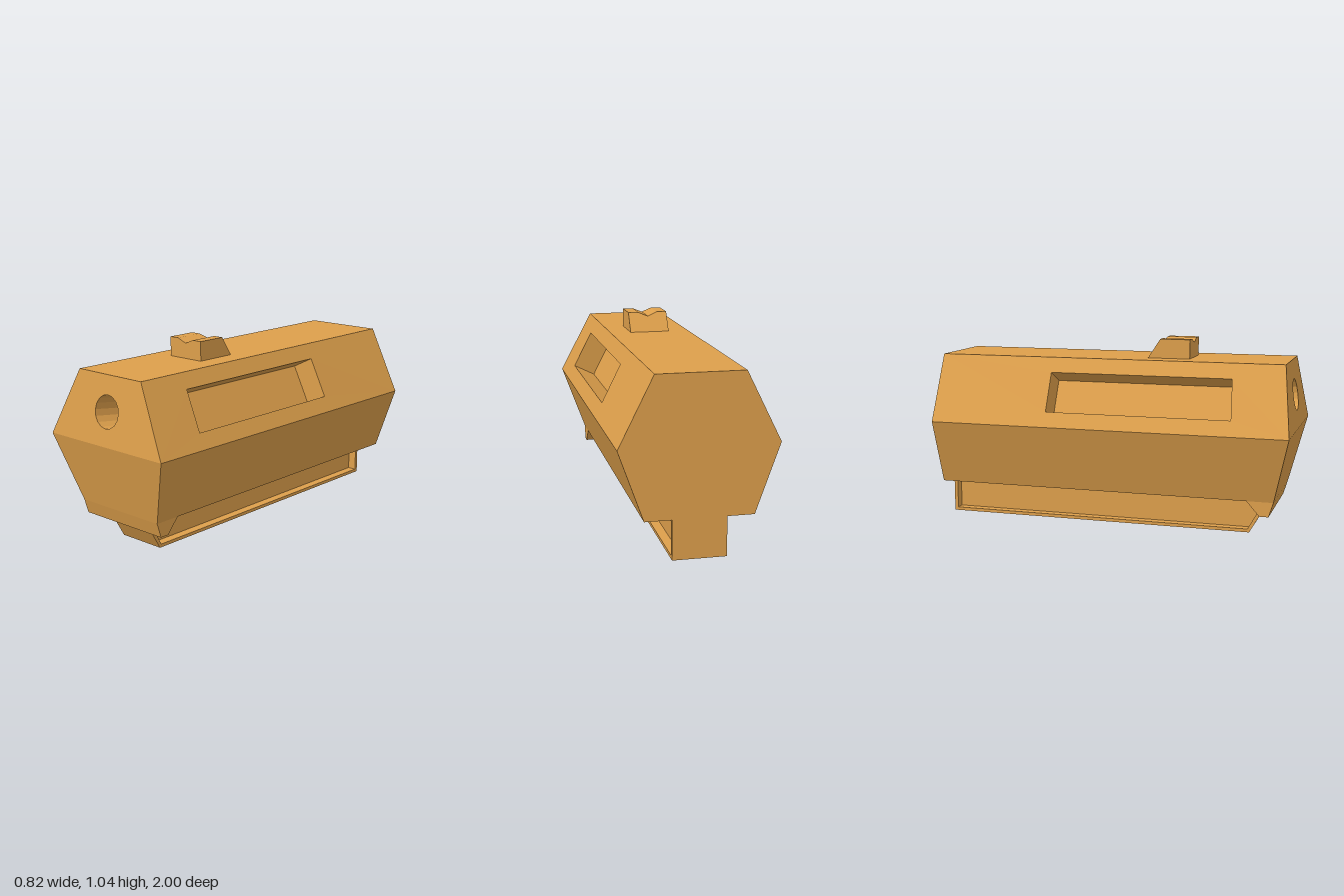
import * as THREE from 'three';

const material = new THREE.MeshStandardMaterial({ color: 0xdd9f4b, flatShading: true });
const V = (x, y, z) => new THREE.Vector3(x, y, z);

// Flat polygon with holes, facing the side from which its corners run counter-clockwise
function panel(out, outer, holes = []) {
  const n = V(0, 0, 0);
  outer.forEach((p, i) => n.add(p.clone().cross(outer[(i + 1) % outer.length])));
  n.normalize();
  const u = outer[1].clone().sub(outer[0]).normalize();
  const v = n.clone().cross(u);
  const flat = (loop) => loop.map((p) => new THREE.Vector2(p.dot(u), p.dot(v)));
  const all = [...outer, ...holes.flat()];
  for (const [a, b, c] of THREE.ShapeUtils.triangulateShape(flat(outer), holes.map(flat))) {
    const cross = all[b].clone().sub(all[a]).cross(all[c].clone().sub(all[a]));
    out.push(...(cross.dot(n) > 0 ? [all[a], all[b], all[c]] : [all[a], all[c], all[b]]));
  }
}

// Walls between two loops; a counter-clockwise loop gives walls facing inward
function band(out, a, b) {
  a.forEach((p, i) => {
    const j = (i + 1) % a.length;
    out.push(p, a[j], b[j], p, b[j], b[i]);
  });
}

// Panel with a sunken pocket
function pocketPanel(out, outer, loop, depth) {
  const floor = loop.map((p) => p.clone().add(depth));
  panel(out, outer, [loop]);
  band(out, loop, floor);
  panel(out, floor);
}

// Mirror a loop to the -x side, keeping it facing outward
const side = (loop, s) => (s > 0 ? loop : loop.map((p) => V(-p.x, p.y, p.z)).reverse());

function toMesh(name, points) {
  const geometry = new THREE.BufferGeometry().setFromPoints(points);
  geometry.computeVertexNormals();
  const mesh = new THREE.Mesh(geometry, material);
  mesh.name = name;
  return mesh;
}

// Hexagonal body with a bore in the front and a recess on each upper flank
function makeBody() {
  const out = [];
  const top = [0.228, 0.94], mid = [0.41, 0.575], low = [0.28, 0.21];
  const zTop = 0.95, zMid = 1, zLow = 0.91, zBack = -1;
  const at = ([x, y], z, s = 1) => V(s * x, y, z);

  const bore = [];
  for (let i = 0; i < 16; i++) {
    const a = (i / 16) * Math.PI * 2;
    const y = 0.754 + 0.086 * Math.sin(a);
    bore.push(V(0.086 * Math.cos(a), y, zMid - ((y - mid[1]) * 0.05) / 0.365));
  }
  pocketPanel(out, [at(mid, zMid, -1), at(mid, zMid), at(top, zTop), at(top, zTop, -1)],
    bore, V(0, -0.055, -0.4));
  panel(out, [at(low, zLow, -1), at(low, zLow), at(mid, zMid), at(mid, zMid, -1)]);

  const recess = [V(0.37, 0.655, 0.69), V(0.37, 0.655, -0.335),
    V(0.268, 0.86, -0.335), V(0.268, 0.86, 0.675)];
  for (const s of [1, -1]) {
    pocketPanel(out, side([at(mid, zMid), at(mid, zBack), at(top, zBack), at(top, zTop)], s),
      side(recess, s), V(-0.12 * s, -0.06, 0));
    panel(out, side([at(low, zLow), at(low, zBack), at(mid, zBack), at(mid, zMid)], s));
  }
  panel(out, [at(top, zTop, -1), at(top, zTop), at(top, zBack), at(top, zBack, -1)]);
  panel(out, [at(low, zBack, -1), at(low, zBack), at(low, zLow), at(low, zLow, -1)]);
  panel(out, [at(low, zBack), at(low, zBack, -1), at(mid, zBack, -1),
    at(top, zBack, -1), at(top, zBack), at(mid, zBack)]);
  return toMesh('body', out);
}

// Prism across x from a side profile of [z, y] points
function prism(out, profile, halfWidth) {
  const right = profile.map(([z, y]) => V(halfWidth, y, z)).reverse();
  const left = right.map((p) => V(-p.x, p.y, p.z));
  band(out, right, left);
  return right.reverse();
}

// Lip under the nose
function makeNoseLip() {
  const out = [];
  const cap = prism(out, [[0.91, 0.21], [0.885, 0.13], [0.835, 0.13], [0.765, 0.21]], 0.28);
  for (const s of [1, -1]) panel(out, side(cap, s));
  return toMesh('noseLip', out);
}

// Bottom rail with a long sunken panel on both sides
function makeRail() {
  const out = [];
  const cap = prism(out, [[0.835, 0.13], [0.76, 0], [-1, 0], [-1, 0.21], [0.765, 0.21]], 0.14);
  const inset = [[0.812, 0.13], [0.75, 0.018], [-0.98, 0.018], [-0.98, 0.195], [0.757, 0.195]]
    .map(([z, y]) => V(0.14, y, z));
  for (const s of [1, -1]) pocketPanel(out, side(cap, s), side(inset, s), V(-0.05 * s, 0, 0));
  return toMesh('bottomRail', out);
}

// Notched sight with a sloping rear
function makeSight() {
  const shape = new THREE.Shape([[-0.112, 0.94], [0.112, 0.94], [0.112, 1.045], [0.055, 1.045],
    [0, 1.023], [-0.055, 1.045], [-0.112, 1.045]].map(([x, y]) => new THREE.Vector2(x, y)));
  const geometry = new THREE.ExtrudeGeometry(shape, { depth: 0.23, bevelEnabled: false });
  geometry.translate(0, 0, 0.18);
  const p = geometry.attributes.position;
  for (let i = 0; i < p.count; i++) {
    if (p.getZ(i) < 0.3) p.setZ(i, 0.175 + (p.getY(i) - 0.94) * 0.65);
  }
  geometry.computeVertexNormals();
  const mesh = new THREE.Mesh(geometry, material);
  mesh.name = 'sight';
  return mesh;
}

export function createModel() {
  const group = new THREE.Group();
  group.name = 'model';
  group.add(makeBody(), makeNoseLip(), makeRail(), makeSight());
  return group;
}
